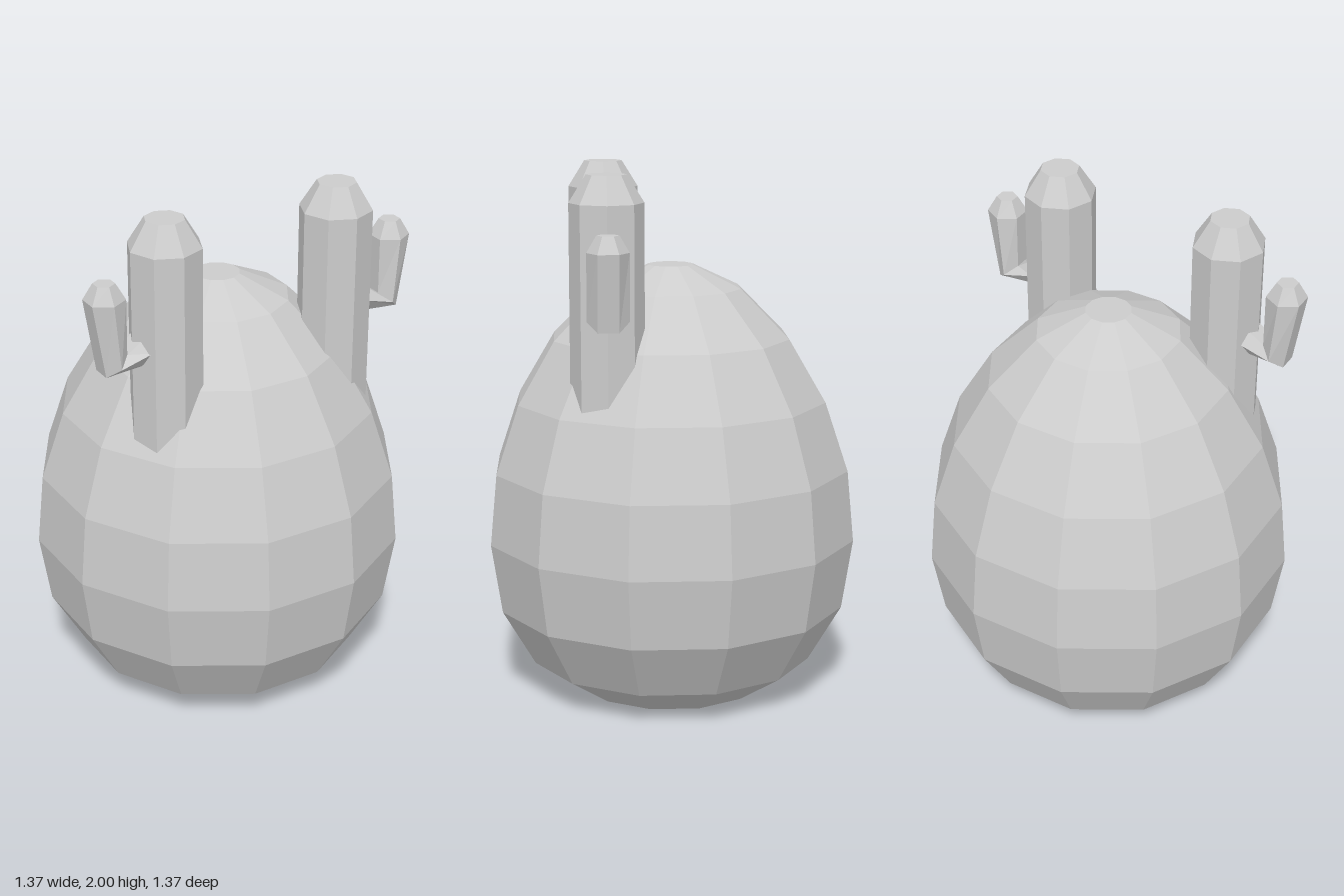
import * as THREE from 'three';

// Faceted mesh with one normal per face
function faceted(name, geometry, material) {
  const flat = geometry.toNonIndexed();
  flat.computeVertexNormals();
  const mesh = new THREE.Mesh(flat, material);
  mesh.name = name;
  return mesh;
}

// Turned solid from a [radius, height] profile, bottom to top
function turned(profile, sides, start = 0) {
  const points = profile.map(([r, y]) => new THREE.Vector2(r, y));
  return new THREE.LatheGeometry(points, sides, start, Math.PI * 2);
}

// Six-sided bent limb lofted through mitred sections.
// Each section: centre x, y; in-plane half vector ux, uy; half depth in z
function bentLimb(sections) {
  const n = 6, pos = [], index = [];
  for (const [cx, cy, ux, uy, dz] of sections) {
    for (let k = 0; k < n; k++) {
      const a = (k / n) * Math.PI * 2;
      const s = Math.sin(a) / Math.sin(Math.PI / 3);
      pos.push(cx + ux * s, cy + uy * s, dz * Math.cos(a));
    }
  }
  const last = (sections.length - 1) * n;
  for (let j = 0; j < last; j += n) {
    for (let k = 0; k < n; k++) {
      const a = j + k, b = j + (k + 1) % n;
      index.push(a, b, b + n, a, b + n, a + n);
    }
  }
  for (let k = 1; k < n - 1; k++) {
    index.push(0, k + 1, k, last, last + k, last + k + 1);
  }
  const geometry = new THREE.BufferGeometry();
  geometry.setAttribute('position', new THREE.Float32BufferAttribute(pos, 3));
  geometry.setIndex(index);
  return geometry;
}

export function createModel() {
  const model = new THREE.Group();
  model.name = 'eggWithCactusHorns';
  const grey = new THREE.MeshStandardMaterial({ color: 0xcccccc, flatShading: true });
  grey.name = 'light grey';

  // Egg-shaped body, twelve sides with a flat side facing front
  const body = turned([
    [0, 0], [0.357, 0], [0.543, 0.12], [0.668, 0.335], [0.709, 0.6], [0.683, 0.87],
    [0.595, 1.13], [0.455, 1.365], [0.27, 1.55], [0.086, 1.637], [0, 1.637],
  ], 12, Math.PI / 12);
  model.add(faceted('body', body, grey));

  // A cactus on each side, arm pointing outward
  for (const side of [1, -1]) {
    const cactus = new THREE.Group();
    cactus.name = side > 0 ? 'leftCactus' : 'rightCactus';
    const trunk = turned([
      [0, 1.1], [0.135, 1.1], [0.135, 1.9], [0.073, 2], [0, 2],
    ], 8);
    const arm = bentLimb([
      [0.09, 1.542, 0, -0.055, 0.075],
      [0.216, 1.507, 0.042, -0.034, 0.075],
      [0.238, 1.75, 0.065, 0, 0.075],
      [0.238, 1.81, 0.034, 0, 0.04],
    ]);
    cactus.add(faceted('trunk', trunk, grey), faceted('arm', arm, grey));
    cactus.position.set(side * 0.352, 0, 0.245);
    cactus.rotation.y = side > 0 ? 0 : Math.PI;
    model.add(cactus);
  }
  return model;
}
